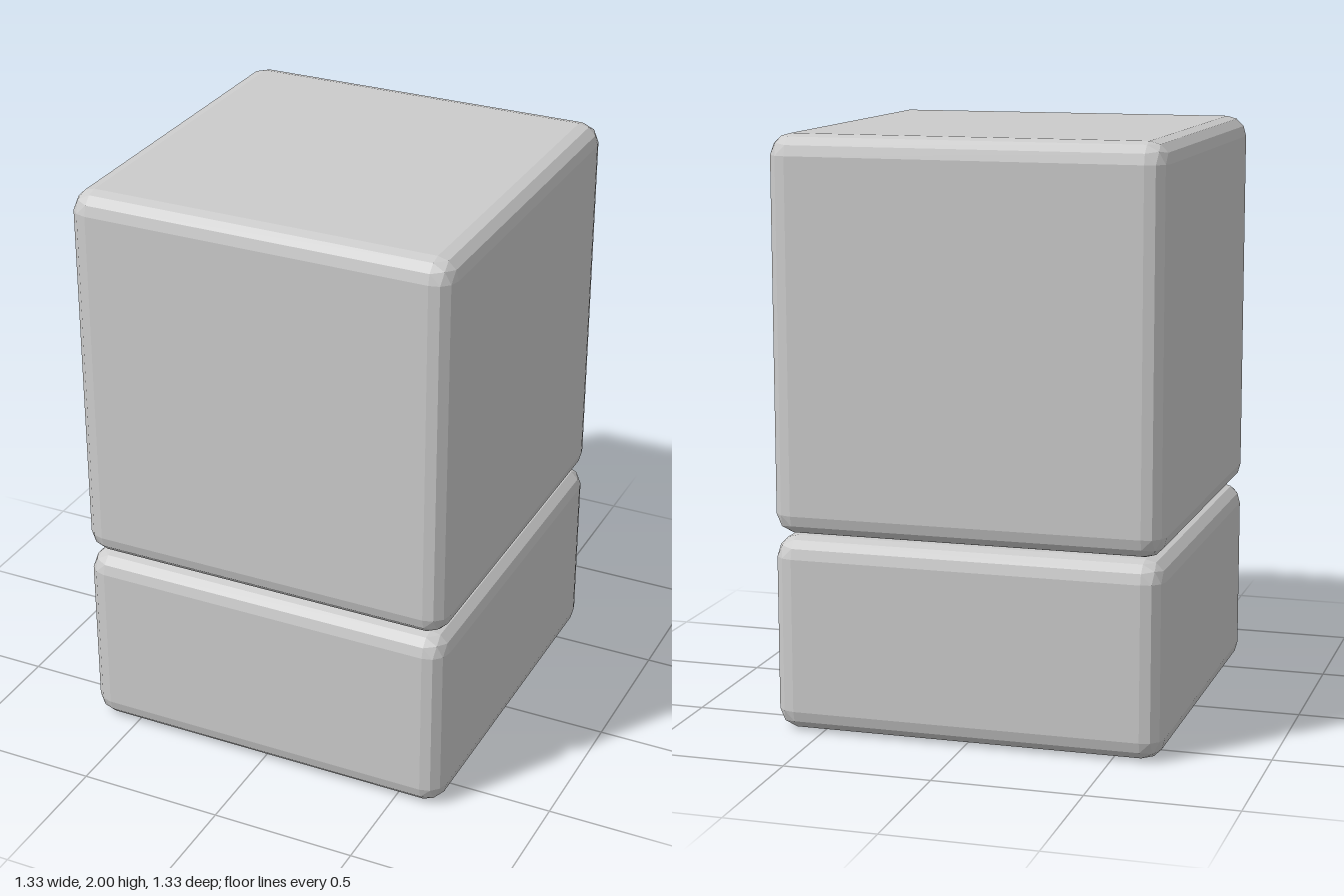
import * as THREE from 'three';
import { ConvexGeometry } from 'three/addons/geometries/ConvexGeometry.js';

const WIDTH = 1.33;
const BEVEL = 0.07;
const STEPS = 3;

// Box with every edge rounded in flat facets: the hull of eight faceted corner octants
function beveledBox(w, h, d, r) {
  const wave = (i) => Math.sin((i / STEPS) * Math.PI / 2);
  const points = [];
  for (const sx of [-1, 1]) for (const sy of [-1, 1]) for (const sz of [-1, 1]) {
    const sign = new THREE.Vector3(sx, sy, sz);
    const inner = new THREE.Vector3(w / 2 - r, h / 2 - r, d / 2 - r);
    for (let i = 0; i <= STEPS; i++) for (let j = 0; j <= STEPS - i; j++) {
      const p = new THREE.Vector3(wave(i), wave(j), wave(STEPS - i - j));
      points.push(p.setLength(r).add(inner).multiply(sign));
    }
  }
  return new ConvexGeometry(points);
}

export function createModel() {
  const group = new THREE.Group();
  const material = new THREE.MeshStandardMaterial({ color: 0xcccccc, flatShading: true });

  const addBlock = (name, bottom, top) => {
    const mesh = new THREE.Mesh(beveledBox(WIDTH, top - bottom, WIDTH, BEVEL), material);
    mesh.name = name;
    mesh.position.y = (bottom + top) / 2;
    group.add(mesh);
  };

  // Half-height block below, full cube above, with a hairline gap between
  addBlock('lowerBlock', 0, 0.665);
  addBlock('upperBlock', 0.672, 2);
  return group;
}
